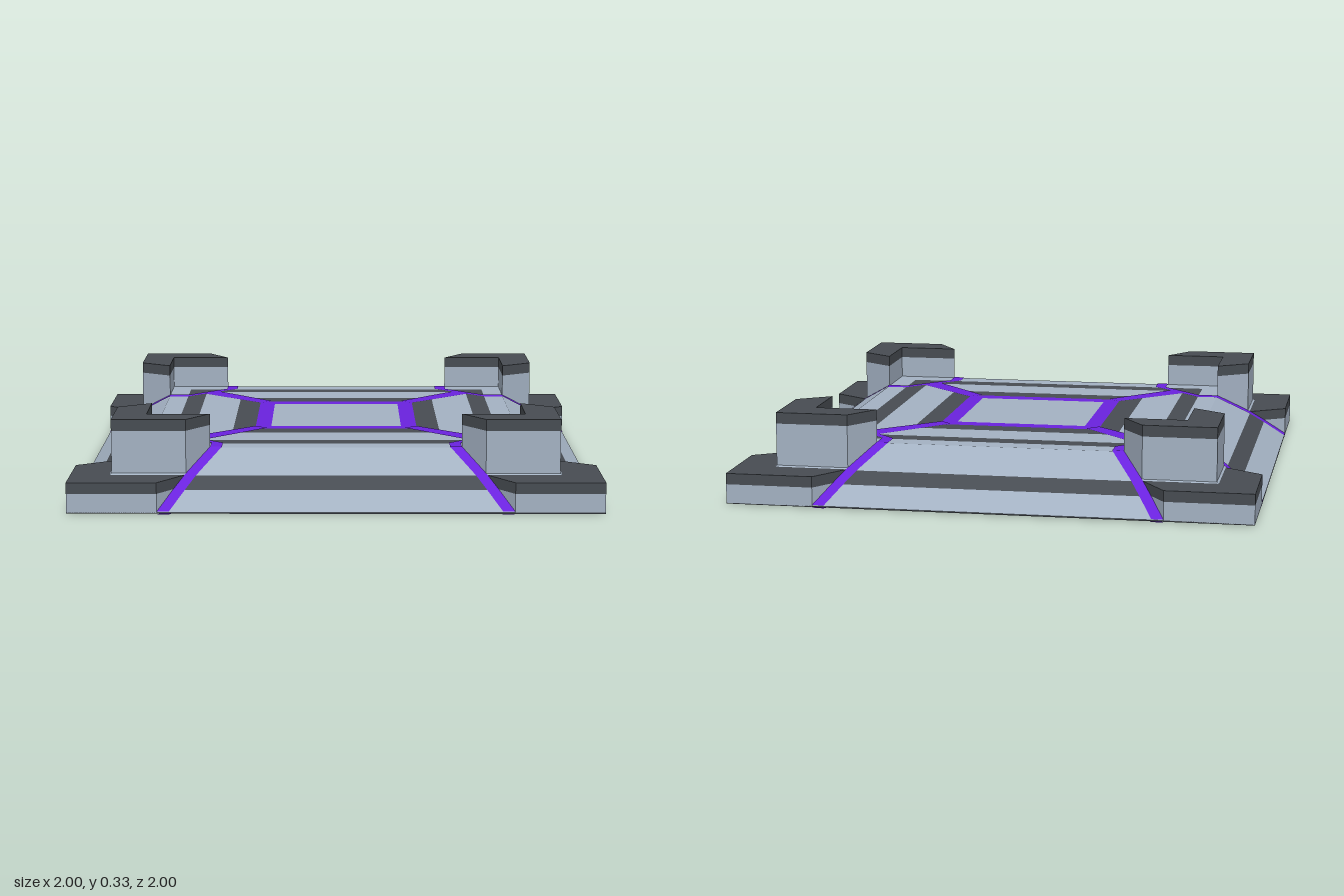
import * as THREE from 'three';

const mat = (color) => new THREE.MeshStandardMaterial({ color, flatShading: true, side: THREE.DoubleSide });
const light = mat(0xa3b1c2), dark = mat(0x474c52), purple = mat(0x6a22dd);

// Square rings of the pad: outer radius/height, inner radius/height, material, name
const TOP = 0.2, BASE = 0.003, LIFT = 0.003;
const rings = [
  [0, BASE, 1, BASE, dark, 'underside'],
  [1, BASE, 1, 0.008, dark, 'bottomEdge'],
  [1, 0.008, 0.914, 0.075, light, 'lowerSlope'],
  [0.914, 0.075, 0.856, 0.118, dark, 'slopeBand'],
  [0.856, 0.118, 0.72, TOP, light, 'upperSlope'],
  [0.72, TOP, 0.64, TOP, light, 'deckRim'],
  [0.64, TOP, 0.565, TOP, dark, 'outerDeckBand'],
  [0.565, TOP, 0.41, TOP, light, 'deck'],
  [0.41, TOP, 0.322, TOP, dark, 'innerDeckBand'],
  [0.322, TOP, 0.26, TOP, purple, 'centreFrame'],
  [0.26, TOP, 0, TOP, light, 'centrePlate'],
];

function add(parent, name, geometry, material) {
  const mesh = new THREE.Mesh(geometry, material);
  mesh.name = name;
  parent.add(mesh);
  return mesh;
}

// Four-sided lathe gives one square ring
function squareRing(r0, y0, r1, y1) {
  const pts = [[r0, y0], [r1, y1]].map(([r, y]) => new THREE.Vector2(r * Math.SQRT2, y));
  const g = new THREE.LatheGeometry(pts, 4, Math.PI / 4).toNonIndexed();
  g.computeVertexNormals();
  return g;
}

// Upright prism over a plan outline of [x, z] points
function prism(outline, y0, y1) {
  const shape = new THREE.Shape(outline.map(([x, z]) => new THREE.Vector2(x, z)));
  const g = new THREE.ExtrudeGeometry(shape, { depth: y1 - y0, bevelEnabled: false });
  return g.rotateX(Math.PI / 2).translate(0, y1, 0);
}

// Height of the pad surface at a plan position
function surfaceY(x, z) {
  const m = Math.max(Math.abs(x), Math.abs(z));
  for (const [r0, y0, r1, y1] of rings.slice(2, 5)) {
    if (m >= r1) return y0 + ((y1 - y0) * (r0 - m)) / (r0 - r1);
  }
  return TOP;
}

// Flat strip between pairs of plan points [x, z, x, z]
function ribbon(pairs, heightAt) {
  const pos = [], index = [];
  pairs.forEach(([ax, az, bx, bz], i) => {
    pos.push(ax, heightAt(ax, az), az, bx, heightAt(bx, bz), bz);
    const k = 2 * i;
    if (i) index.push(k - 2, k - 1, k, k - 1, k + 1, k);
  });
  const g = new THREE.BufferGeometry();
  g.setAttribute('position', new THREE.Float32BufferAttribute(pos, 3));
  g.setIndex(index);
  // Make every strip face up
  const flat = g.toNonIndexed();
  flat.computeVertexNormals();
  if (flat.attributes.normal.getY(0) < 0) {
    g.setIndex(index.reverse());
    const flipped = g.toNonIndexed();
    flipped.computeVertexNormals();
    return flipped;
  }
  return flat;
}

function createCorner() {
  const corner = new THREE.Group();

  // Corner block and the L-shaped pylon standing on it
  const block = [[1, 1], [1, 0.665], [0.72, 0.48], [0.72, 0.72], [0.48, 0.72], [0.665, 1]];
  const pylon = [[0.845, 0.845], [0.845, 0.565], [0.72, 0.48], [0.72, 0.72], [0.48, 0.72], [0.565, 0.845]];
  add(corner, 'cornerBlock', prism(block, 0.006, 0.078), light);
  add(corner, 'cornerBlockTop', prism(block, 0.078, 0.12), dark);
  add(corner, 'pylon', prism(pylon, 0.12, 0.287), light);
  add(corner, 'pylonCap', prism(pylon, 0.287, 0.33), dark);

  // Trim that climbs one slope, rounds the pylon and runs down the other
  const half = [1, 0.914, 0.856, 0.72].map((z) => {
    const x = 0.48 + ((z - 0.72) * 0.185) / 0.28;
    return [x, z, x - 0.045, z];
  });
  half.push([0.48, 0.64, 0.435, 0.64]);
  const other = half.map(([ax, az, bx, bz]) => [az, ax, bz, bx]).reverse();
  const lifted = (x, z) => surfaceY(x, z) + LIFT;
  add(corner, 'cornerTrim', ribbon([...half, ...other], lifted), purple);

  // Tapered spoke from the centre frame to the corner trim
  add(corner, 'spoke', ribbon([[0.275, 0.32, 0.32, 0.275], [0.51, 0.57, 0.57, 0.51]], lifted), purple);

  // Strip across the underside, splayed at both ends
  const end = [[0.62, 1, 0.665, 1], [0.51, 0.8, 0.55, 0.8]];
  const mirrored = end.map(([ax, az, bx, bz]) => [ax, -az, bx, -bz]).reverse();
  add(corner, 'undersideStrip', ribbon([...end, ...mirrored], () => 0), purple);
  return corner;
}

export function createModel() {
  const model = new THREE.Group();
  model.name = 'squarePad';

  const pad = new THREE.Group();
  pad.name = 'pad';
  for (const [r0, y0, r1, y1, material, name] of rings) add(pad, name, squareRing(r0, y0, r1, y1), material);
  model.add(pad);

  ['frontLeft', 'backLeft', 'backRight', 'frontRight'].forEach((side, i) => {
    const corner = createCorner();
    corner.name = side + 'Corner';
    corner.rotation.y = (i * Math.PI) / 2;
    model.add(corner);
  });
  return model;
}
